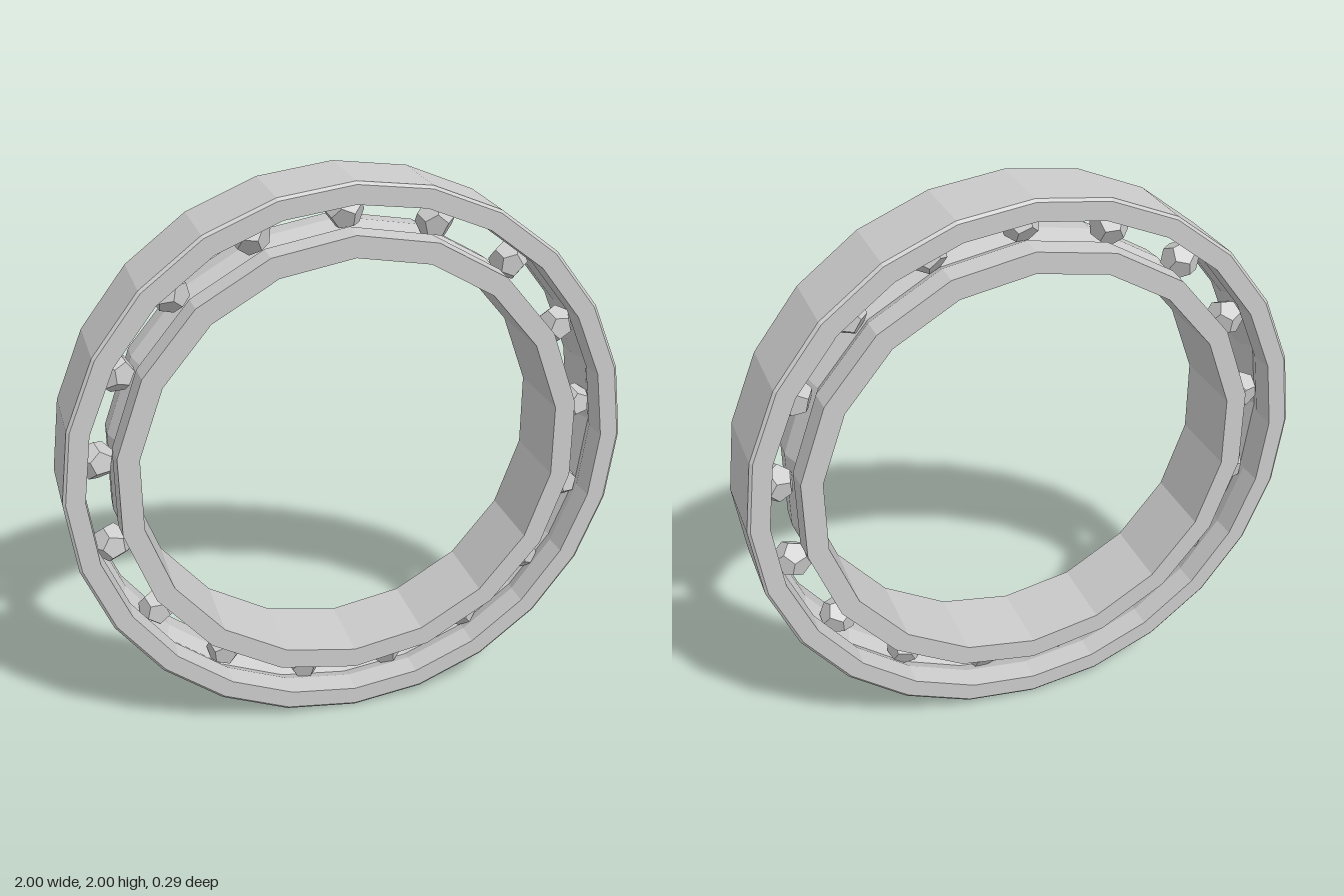
import * as THREE from 'three';

const material = new THREE.MeshStandardMaterial({ color: 0xcccccc, flatShading: true });

// Ring turned from a closed [radius, z] section, axis along z
function ring(name, section, sides) {
  const points = [...section, section[0]].map(([r, z]) => new THREE.Vector2(r, z));
  const geometry = new THREE.LatheGeometry(points, sides).rotateX(Math.PI / 2);
  const mesh = new THREE.Mesh(geometry, material);
  mesh.name = name;
  mesh.position.y = 1;
  return mesh;
}

export function createModel() {
  const group = new THREE.Group();
  group.name = 'ballBearing';
  const w = 0.145;

  // Outer race, with the ball groove on its inside
  group.add(ring('outerRace', [
    [0.99, -w], [1, -w + 0.008], [1, w - 0.008], [0.99, w],
    [0.925, w], [0.92, 0.06], [0.945, 0], [0.92, -0.06], [0.925, -w],
  ], 24));

  // Inner race, with the ball groove on its outside
  group.add(ring('innerRace', [
    [0.825, -w], [0.83, -0.06], [0.805, 0], [0.83, 0.06], [0.825, w],
    [0.75, w], [0.75, -w],
  ], 18));

  // Balls evenly spaced between the races
  const balls = new THREE.Group();
  balls.name = 'balls';
  const ballGeometry = new THREE.DodecahedronGeometry(0.068);
  const count = 17;
  for (let i = 0; i < count; i++) {
    const a = (i / count) * Math.PI * 2;
    const ball = new THREE.Mesh(ballGeometry, material);
    ball.name = 'ball' + (i + 1);
    ball.position.set(Math.sin(a) * 0.873, 1 + Math.cos(a) * 0.873, 0);
    ball.rotation.set(0.4, 0.3, -a);
    balls.add(ball);
  }
  group.add(balls);
  return group;
}
